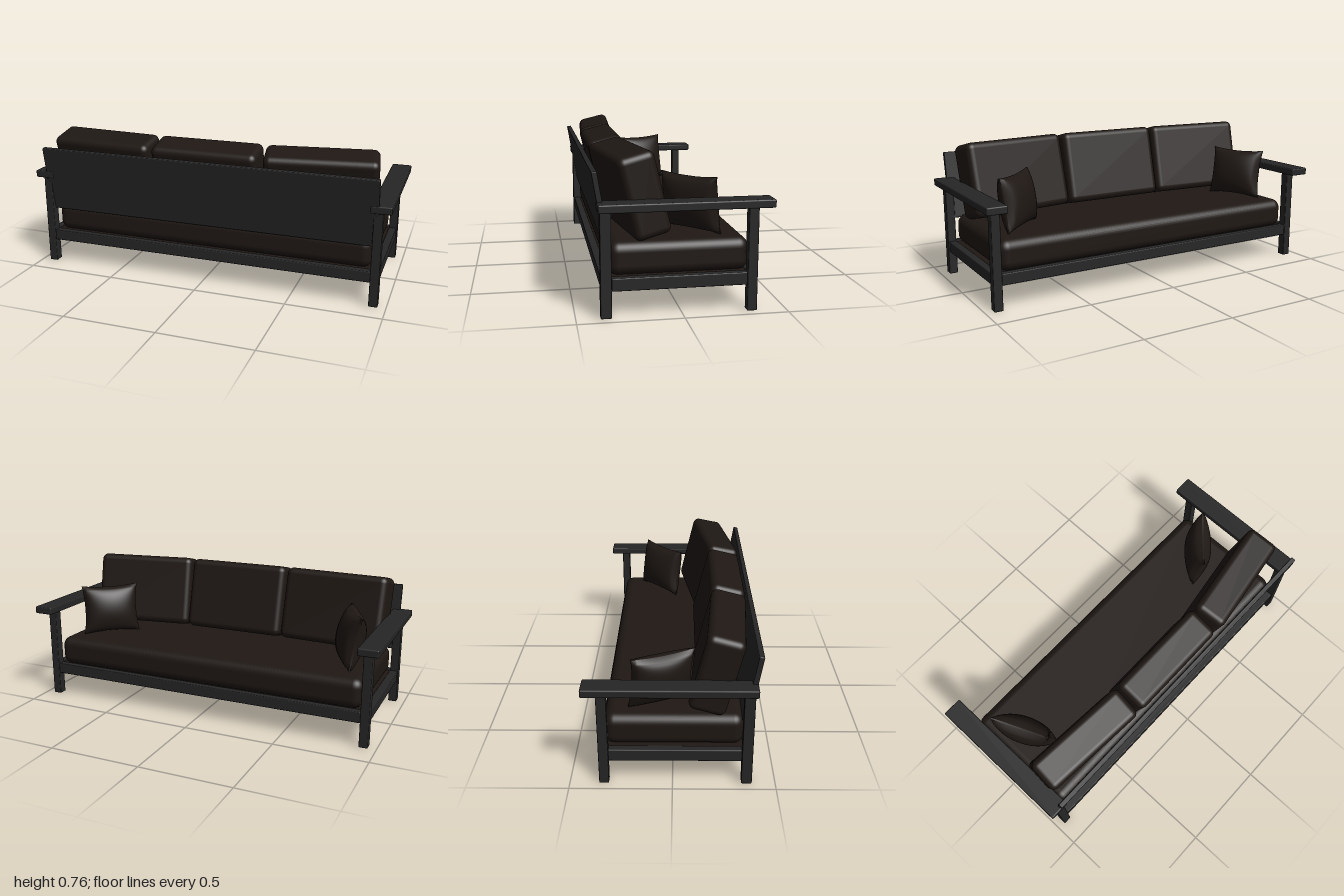
import * as THREE from 'three';
import { RoundedBoxGeometry } from 'three/addons/geometries/RoundedBoxGeometry.js';

export function createModel() {
  const sofa = new THREE.Group();
  sofa.name = 'sofa';
  const frameMat = new THREE.MeshStandardMaterial({ color: 0x262626 });
  const clothMat = new THREE.MeshStandardMaterial({ color: 0x1f1814 });

  const add = (name, geometry, material, x, y, z) => {
    const mesh = new THREE.Mesh(geometry, material);
    mesh.name = name;
    mesh.position.set(x, y, z);
    mesh.rotation.order = 'YXZ';
    sofa.add(mesh);
    return mesh;
  };
  // Softly edged box; radius sets how padded it looks
  const block = (name, w, h, d, x, y, z, r = 0.005, mat = frameMat) =>
    add(name, new RoundedBoxGeometry(w, h, d, r > 0.01 ? 5 : 2, r), mat, x, y, z);

  // Legs, armrests and side rails, mirrored
  for (const s of [-1, 1]) {
    const side = s > 0 ? 'left' : 'right';
    block(side + 'FrontLeg', 0.047, 0.507, 0.048, s * 0.933, 0.2535, -0.333);
    block(side + 'BackLeg', 0.047, 0.507, 0.052, s * 0.933, 0.2535, 0.36);
    block(side + 'Armrest', 0.108, 0.04, 0.82, s * 0.946, 0.525, -0.013, 0.007);
    block(side + 'SideRail', 0.042, 0.062, 0.642, s * 0.93, 0.159, 0.012);
  }

  // Front and back rails with the seat deck between them
  block('frontRail', 1.82, 0.06, 0.042, 0, 0.16, -0.334);
  block('backRail', 1.82, 0.06, 0.042, 0, 0.16, 0.36);
  block('seatDeck', 1.83, 0.015, 0.67, 0, 0.178, 0.013, 0.003, clothMat);

  // Leaning backboard
  block('backboard', 1.87, 0.37, 0.026, 0, 0.502, 0.376).rotation.x = 0.166;

  // Seat cushion
  block('seatCushion', 1.81, 0.162, 0.675, 0, 0.263, 0.006, 0.05, clothMat);

  // Three leaning back cushions; the outer two are turned a little
  const backCushions = [
    ['rightBackCushion', -0.605, 0.225, -0.07],
    ['middleBackCushion', -0.002, 0.245, 0],
    ['leftBackCushion', 0.605, 0.21, 0.15],
  ];
  for (const [name, x, z, turn] of backCushions) {
    const c = block(name, 0.59, 0.405, 0.185, x, 0.553, z, 0.035, clothMat);
    c.rotation.set(0.24, turn, 0);
  }

  // Scatter cushions: plump middle, pinched corners, hollow edges
  const pillow = (name, x, z, turn, lean) => {
    const w = 0.33, h = 0.285, t = 0.14, n = 24;
    const g = new THREE.BoxGeometry(2, 2, 2, n, n, 2);
    const p = g.attributes.position;
    for (let i = 0; i < p.count; i++) {
      const u = p.getX(i), v = p.getY(i), d = p.getZ(i);
      const puff = Math.pow((1 - u * u) * (1 - v * v), 0.45);
      p.setXYZ(i,
        u * w / 2 * (1 - 0.08 * (1 - v * v)),
        v * h / 2 * (1 - 0.08 * (1 - u * u)),
        d * (0.004 + puff * t / 2));
    }
    g.computeVertexNormals();
    add(name, g, clothMat, x, 0.485, z).rotation.set(lean, turn, 0);
  };
  pillow('rightScatterCushion', -0.765, -0.055, -1.16, 0.18);
  pillow('leftScatterCushion', 0.705, -0.085, 0.73, 0.15);

  return sofa;
}
